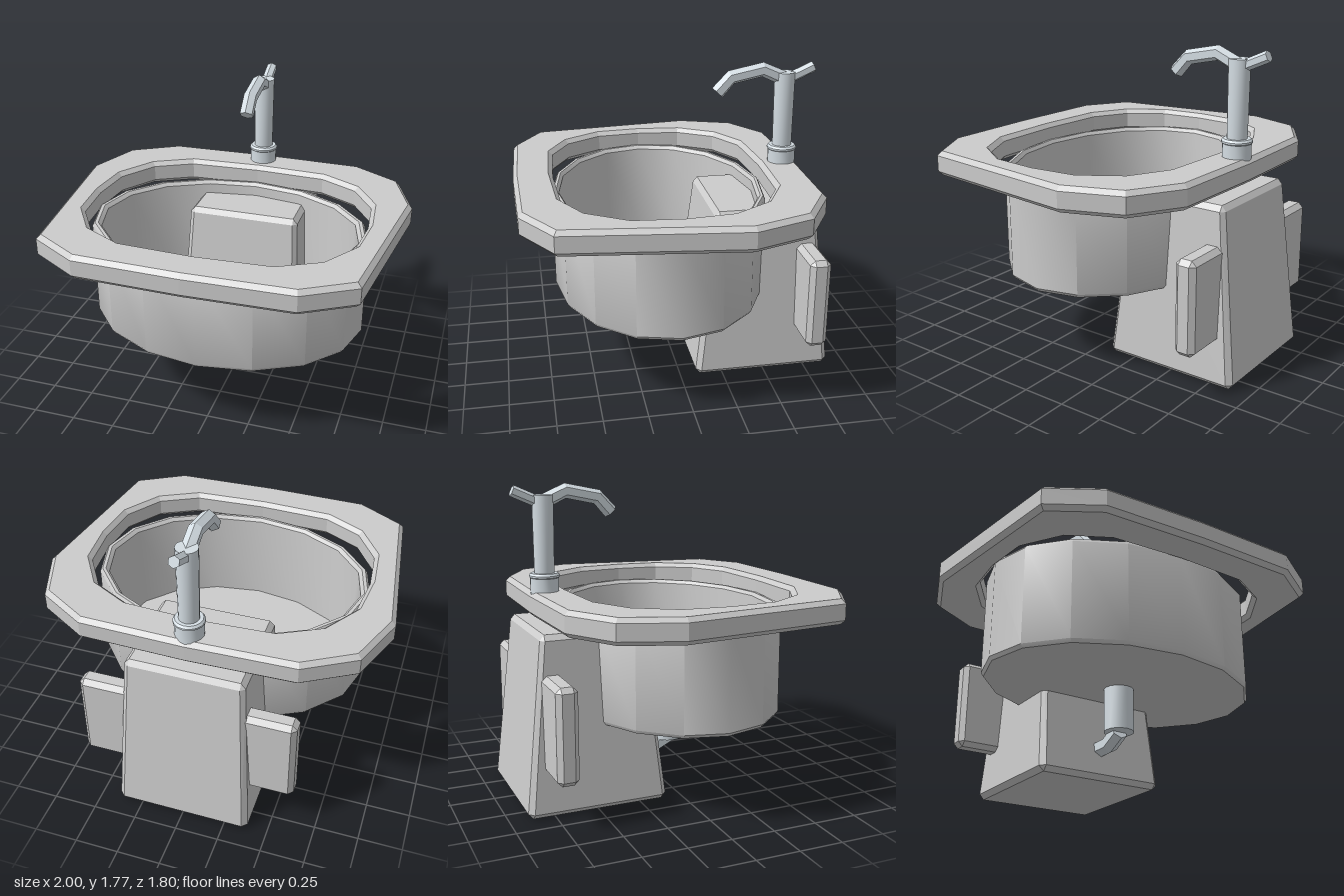
import * as THREE from 'three';
import { toCreasedNormals } from 'three/addons/utils/BufferGeometryUtils.js';
import { ConvexGeometry } from 'three/addons/geometries/ConvexGeometry.js';

const CENTRE_Z = 0.075;

// Box with chamfered edges; taper(p) may move each corner point.
function chamferBox(w, h, d, c, taper = () => {}) {
  const points = [];
  for (const sx of [-1, 1]) for (const sy of [-1, 1]) for (const sz of [-1, 1]) {
    for (let axis = 0; axis < 3; axis++) {
      const inset = [c, c, c];
      inset[axis] = 0;
      const p = new THREE.Vector3(
        sx * (w / 2 - inset[0]), sy * (h / 2 - inset[1]), sz * (d / 2 - inset[2]));
      taper(p);
      points.push(p);
    }
  }
  return new ConvexGeometry(points);
}

// Bent pipe through [z, y] points in the plane x = 0.
function bentPipe(path, radius, sides = 6) {
  const geo = new THREE.CylinderGeometry(radius, radius, 1, sides, path.length - 1);
  const pos = geo.attributes.position;
  for (let v = 0; v < pos.count; v++) {
    const i = Math.round((pos.getY(v) + 0.5) * (path.length - 1));
    const a = path[Math.max(i - 1, 0)], b = path[Math.min(i + 1, path.length - 1)];
    const len = Math.hypot(b[0] - a[0], b[1] - a[1]);
    const tz = (b[0] - a[0]) / len, ty = (b[1] - a[1]) / len;
    const n = pos.getZ(v);
    pos.setXYZ(v, pos.getX(v), path[i][1] - n * tz, path[i][0] + n * ty);
  }
  const flat = geo.toNonIndexed();
  flat.computeVertexNormals();
  return flat;
}

// Mirrors a quarter outline, listed from the x axis to the y axis, into a full loop.
function mirrorQuarter(q) {
  const half = [...q, ...q.slice(0, -1).reverse().map(([x, y]) => [-x, y])];
  const loop = [...half, ...half.slice(1, -1).reverse().map(([x, y]) => [x, -y])];
  return loop.map(([x, y]) => new THREE.Vector2(x, y));
}

export function createModel() {
  const group = new THREE.Group();
  const grey = new THREE.MeshStandardMaterial({ color: 0xcccccc });
  const metal = new THREE.MeshStandardMaterial({ color: 0xd4dde3 });

  const add = (name, geometry, material, x = 0, y = 0, z = 0) => {
    const mesh = new THREE.Mesh(geometry, material);
    mesh.name = name;
    mesh.position.set(x, y, z);
    group.add(mesh);
    return mesh;
  };

  // Rim: bevelled plate with a large oval opening
  const bevel = 0.025;
  const rimShape = new THREE.Shape(mirrorQuarter(
    [[1, 0.325], [0.88, 0.65], [0.6, 0.815], [0, 0.83]]));
  rimShape.holes.push(new THREE.Path(mirrorQuarter(
    [[0.8, 0], [0.775, 0.26], [0.64, 0.47], [0.42, 0.585], [0, 0.605]])));
  const rim = new THREE.ExtrudeGeometry(rimShape, {
    depth: 0.14 - 2 * bevel, bevelThickness: bevel, bevelSize: bevel,
    bevelOffset: -bevel, bevelSegments: 1,
  });
  rim.rotateX(-Math.PI / 2);
  add('rim', rim, grey, 0, 1.04 + bevel, 0.07);

  // Basin: open oval bowl with a thin wall
  const profile = [
    [0.001, 0.48], [0.795, 0.48], [0.81, 0.5], [0.81, 1.06], [0.795, 1.08],
    [0.775, 1.08], [0.755, 1.06], [0.73, 0.53], [0.001, 0.53],
  ].map(([r, y]) => new THREE.Vector2(r, y));
  const basin = new THREE.LatheGeometry(profile, 16);
  basin.scale(1, 1, 0.755);
  add('basin', toCreasedNormals(basin, 0.6), grey, 0, 0, CENTRE_Z);

  // Pedestal: tapered block that reaches into the back of the basin
  const pedestal = chamferBox(0.78, 1, 0.81, 0.03, (p) => {
    const t = p.y + 0.5;
    p.x *= 1 - 0.14 * t;
    p.z = p.z * (1 - 0.28 * t) - 0.005 * t;
  });
  add('pedestal', pedestal, grey, 0, 0.5, -0.495);

  // Side panels: one slab passing through the pedestal
  add('sidePanels', chamferBox(1.24, 0.53, 0.12, 0.028), grey, 0, 0.52, -0.74);

  // Drain and waste pipe
  const cylinder = (rTop, rBottom, h) =>
    toCreasedNormals(new THREE.CylinderGeometry(rTop, rBottom, h, 16), 0.6);
  add('drain', cylinder(0.085, 0.085, 0.31), metal, 0, 0.385, CENTRE_Z);
  add('wastePipe', bentPipe([[0.08, 0.235], [-0.02, 0.185], [-0.2, 0.185]], 0.05), metal);

  // Tap: collar, post, angular spout and lever
  const tapZ = -0.67;
  const collar = new THREE.LatheGeometry(
    [[0.08, 1.16], [0.08, 1.255], [0.086, 1.26], [0.086, 1.27], [0.076, 1.282], [0.001, 1.282]]
      .map(([r, y]) => new THREE.Vector2(r, y)), 16);
  add('tapCollar', toCreasedNormals(collar, 0.6), metal, 0, 0, tapZ);
  add('tapPost', cylinder(0.06, 0.056, 0.46), metal, 0, 1.48, tapZ);
  add('tapSpout', bentPipe(
    [[-0.68, 1.665], [-0.54, 1.728], [-0.355, 1.69], [-0.277, 1.605]], 0.042), metal);
  add('tapLever', bentPipe([[-0.67, 1.66], [-0.84, 1.735]], 0.032), metal);

  return group;
}
